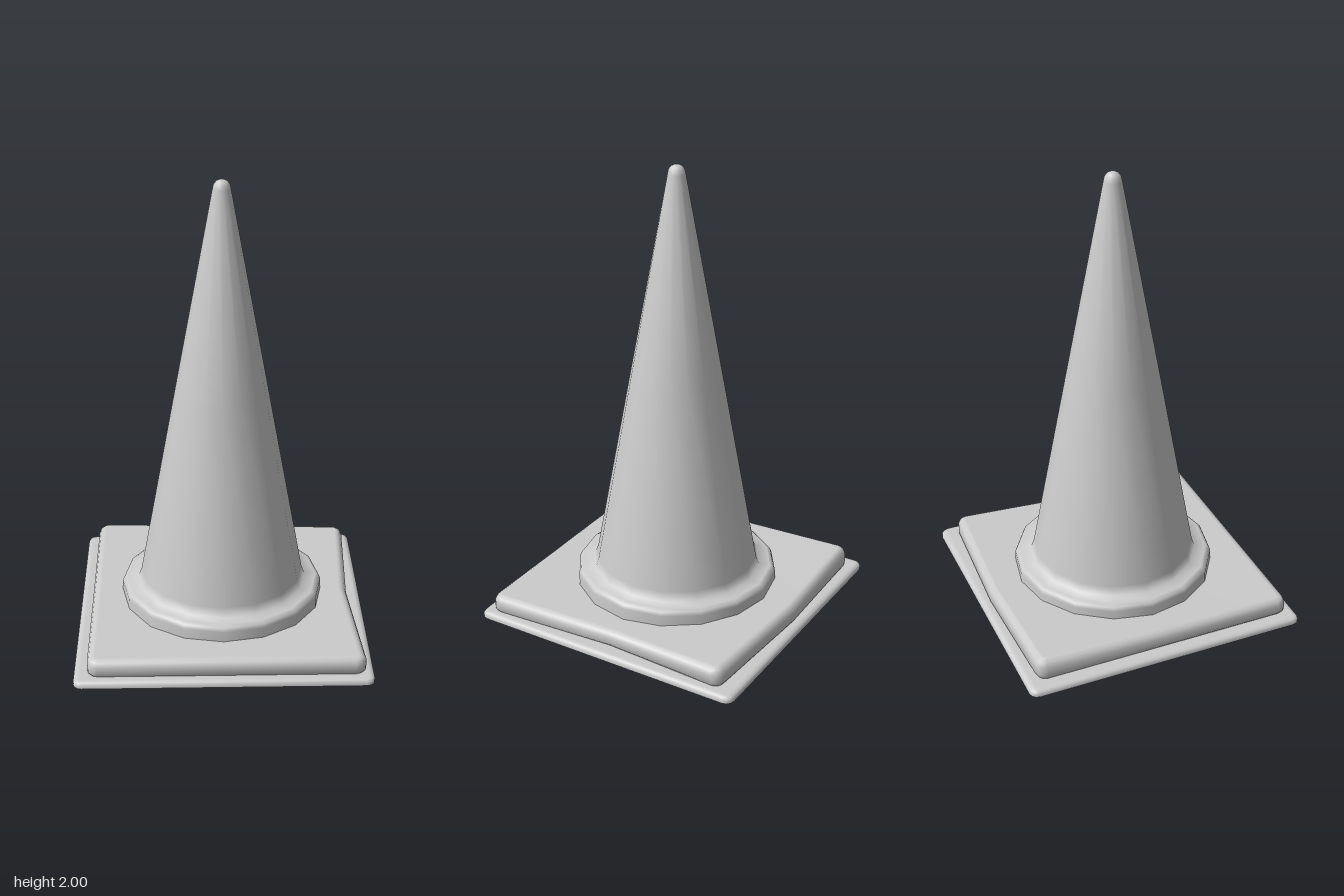
import * as THREE from 'three';
import { toCreasedNormals } from 'three/addons/utils/BufferGeometryUtils.js';

const material = new THREE.MeshStandardMaterial({ color: 0xcccccc });

// Lofted slab. Nodes run counterclockwise seen from above: [x, z, top height, isCorner],
// starting with the middle of the +x side. Each ring is [inset, fraction of height].
function slab(nodes, radius, bottom, middle, rings) {
  const outline = [];
  nodes.forEach(([x, z, top, corner], k) => {
    const start = Math.floor(k / 2) * Math.PI / 2;
    const steps = corner ? 3 : 0;
    const cx = x - (corner || z === 0 ? Math.sign(x) * radius : 0);
    const cz = z - (corner || x === 0 ? Math.sign(z) * radius : 0);
    for (let s = 0; s <= steps; s++) {
      const a = start + (steps ? s / steps : 0) * Math.PI / 2;
      outline.push({ cx, cz, top, dx: Math.cos(a), dz: -Math.sin(a) });
    }
  });
  const n = outline.length, positions = [], index = [];
  for (const [inset, t] of rings) {
    for (const p of outline) {
      const r = radius - inset;
      positions.push(p.cx + p.dx * r, bottom + (p.top - bottom) * t, p.cz + p.dz * r);
    }
  }
  for (let j = 0; j < rings.length - 1; j++) {
    for (let i = 0; i < n; i++) {
      const a = j * n + i, b = j * n + (i + 1) % n;
      index.push(a, b, b + n, a, b + n, a + n);
    }
  }
  // Bottom and top caps
  const low = positions.length / 3, last = (rings.length - 1) * n;
  positions.push(0, bottom + (middle - bottom) * rings[0][1], 0, 0, middle, 0);
  for (let i = 0; i < n; i++) {
    const k = (i + 1) % n;
    index.push(low, k, i, low + 1, last + i, last + k);
  }
  const geometry = new THREE.BufferGeometry();
  geometry.setAttribute('position', new THREE.Float32BufferAttribute(positions, 3));
  geometry.setIndex(index);
  return toCreasedNormals(geometry, 0.7);
}

export function createModel() {
  const group = new THREE.Group();
  const add = (name, geometry) => {
    const mesh = new THREE.Mesh(geometry, material);
    mesh.name = name;
    group.add(mesh);
  };

  // Thin plate on the ground, with a shallow recess underneath
  const h = 0.028, e = 0.633;
  add('groundPlate', slab([
    [e, 0, h, false], [e, -e, h, true],
    [0, -e, h, false], [-e, -e, h, true],
    [-e, 0, h, false], [-e, e, h, true],
    [0, e, h, false], [e, e, h, true],
  ], 0.036, 0, h, [[0.025, 0.4], [0.025, 0], [0, 0], [0, 0.5], [0.007, 0.85], [0.02, 1], [0.03, 1]]));

  // Slightly warped rubber slab, dished in the middle and raised at the back corner
  add('baseSlab', slab([
    [0.566, 0, 0.096, false], [0.593, -0.563, 0.112, true],
    [0, -0.595, 0.108, false], [-0.577, -0.582, 0.125, true],
    [-0.577, 0, 0.106, false], [-0.576, 0.595, 0.104, true],
    [0, 0.595, 0.104, false], [0.6, 0.595, 0.104, true],
  ], 0.045, 0.024, 0.093, [[0.012, 0], [0, 0.2], [0, 0.65], [0.008, 0.87], [0.025, 1], [0.036, 1]]));

  // Collar and tapered body in one skin, with a rounded tip
  const profile = [
    [0.445, 0.07], [0.445, 0.148], [0.438, 0.164], [0.422, 0.174], [0.372, 0.176],
    [0.358, 0.215], [0.2, 1.08], [0.038, 1.962],
    [0.034, 1.98], [0.024, 1.993], [0.012, 1.999], [0, 2],
  ].map(([r, y]) => new THREE.Vector2(r, y));
  add('coneBody', new THREE.LatheGeometry(profile, 16).translate(0.002, 0, 0));

  return group;
}
